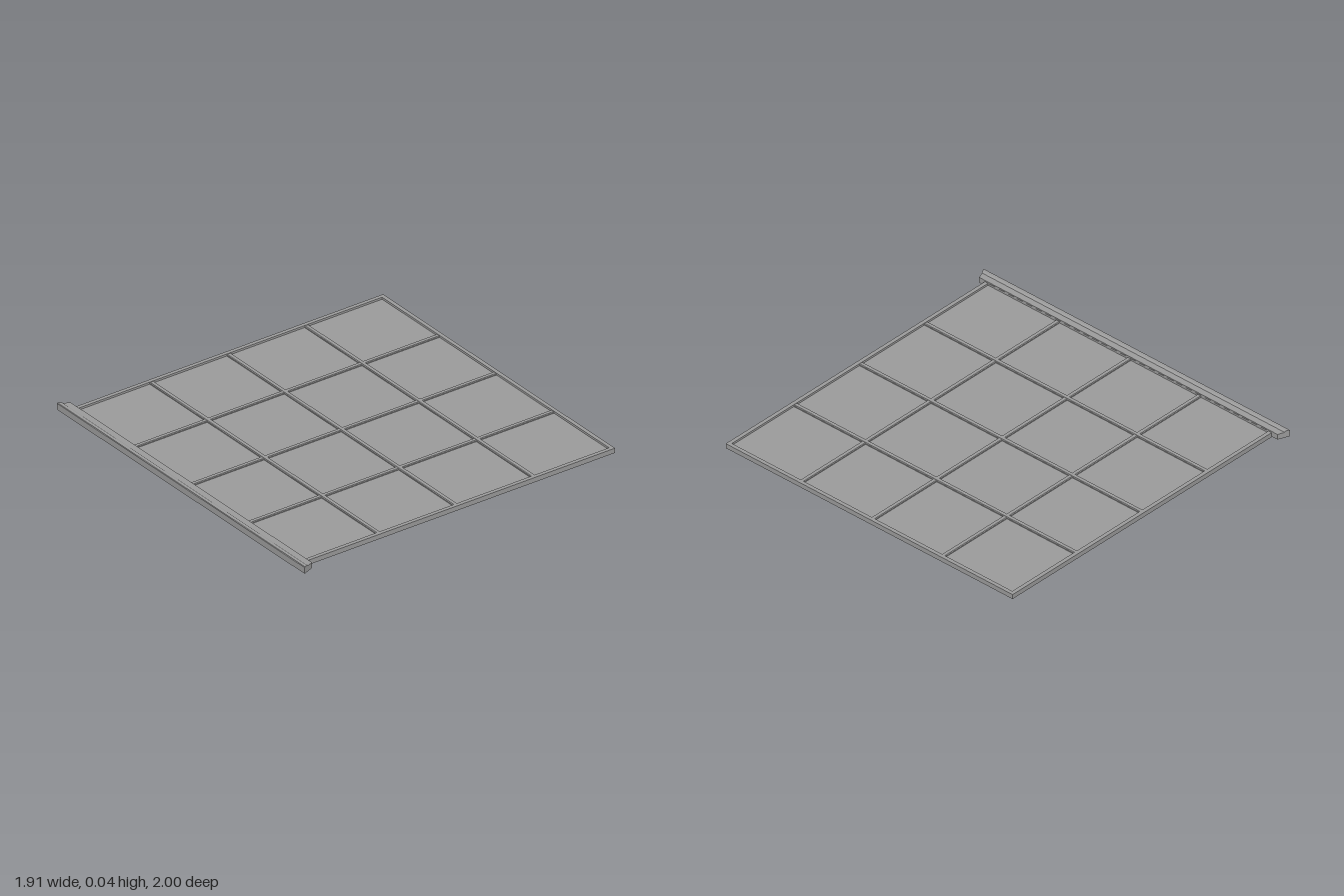
import * as THREE from 'three';

const material = new THREE.MeshStandardMaterial({ color: 0x9b9b9b, flatShading: true });

// Frame outline, opening and bar positions
const X0 = -0.912, X1 = 0.953, Z = 0.937, EDGE = 0.021;
const TOP = 0.026;
const barX = [-0.449, 0.013, 0.479];
const barZ = [-0.464, -0.005, 0.46];

const points = (list) => list.map(([a, b]) => new THREE.Vector2(a, b));

export function createModel() {
  const model = new THREE.Group();

  const add = (name, geometry) => {
    const mesh = new THREE.Mesh(geometry, material);
    mesh.name = name;
    model.add(mesh);
    return mesh;
  };

  // Outer frame: one rectangle with a rectangular opening
  const outline = new THREE.Shape(points([[X0, -Z], [X1, -Z], [X1, Z], [X0, Z]]));
  outline.holes.push(new THREE.Path(points([[X0 + EDGE, -Z + EDGE], [X0 + EDGE, Z - EDGE],
    [X1 - EDGE, Z - EDGE], [X1 - EDGE, -Z + EDGE]])));
  const frame = new THREE.ExtrudeGeometry(outline, { depth: TOP, bevelEnabled: false });
  frame.rotateX(-Math.PI / 2);
  add('outerFrame', frame);

  // Thin panes between the bars
  const xs = [X0 + EDGE, ...barX, X1 - EDGE];
  const zs = [-Z + EDGE, ...barZ, Z - EDGE];
  for (let i = 0; i < 4; i++) {
    for (let j = 0; j < 4; j++) {
      add('pane', new THREE.BoxGeometry(xs[i + 1] - xs[i], 0.004, zs[j + 1] - zs[j]))
        .position.set((xs[i] + xs[i + 1]) / 2, 0.013, (zs[j] + zs[j + 1]) / 2);
    }
  }

  // Glazing bars with slightly chamfered edges, the crossing set a little lower
  const bar = (length, low, high) => {
    const section = new THREE.Shape(points([[-0.009, low], [0.009, low], [0.012, low + 0.004],
      [0.012, high - 0.004], [0.009, high], [-0.009, high], [-0.012, high - 0.004], [-0.012, low + 0.004]]));
    return new THREE.ExtrudeGeometry(section, { depth: length, bevelEnabled: false })
      .translate(0, 0, -length / 2);
  };
  for (const x of barX) add('longBar', bar(2 * (Z - EDGE), 0.002, 0.024)).position.x = x;
  for (const z of barZ) {
    add('crossBar', bar(X1 - X0 - 2 * EDGE, 0.003, 0.023).rotateY(Math.PI / 2))
      .position.set((X0 + X1) / 2, 0, z);
  }

  // Stepped trim along one side, its ends cut at a slant
  const profile = new THREE.Shape(points([[-0.955, 0.003], [-0.892, 0.003], [-0.892, 0.033],
    [-0.927, 0.034], [-0.931, 0.038], [-0.936, 0.04], [-0.952, 0.04], [-0.955, 0.037]]));
  const trim = new THREE.ExtrudeGeometry(profile, { depth: 2, bevelEnabled: false });
  trim.translate(0, 0, -1);
  const p = trim.attributes.position;
  for (let i = 0; i < p.count; i++) {
    p.setZ(i, p.getZ(i) * (1 - (p.getX(i) + 0.955) * 0.4));
  }
  trim.computeVertexNormals();
  add('edgeTrim', trim);

  return model;
}
